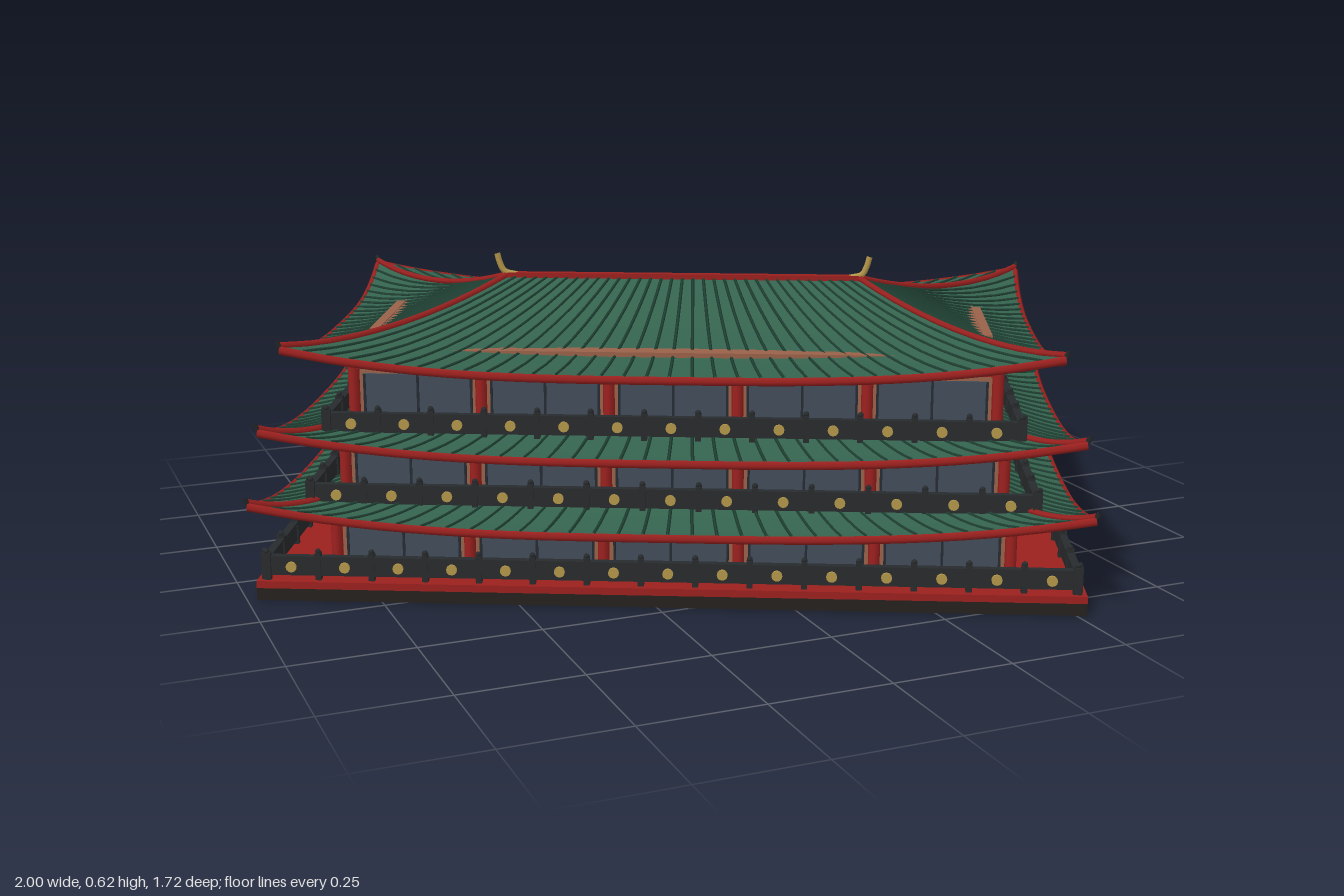
import * as THREE from 'three';
import { mergeGeometries } from 'three/addons/utils/BufferGeometryUtils.js';

const mat = (color, side = THREE.FrontSide) => new THREE.MeshStandardMaterial({ color, side });
const M = {
  green: mat(0x34634e, THREE.DoubleSide), rib: mat(0x1f4033), red: mat(0x9c211f),
  under: mat(0x53332a, THREE.DoubleSide), wall: mat(0x9a6249), glass: mat(0x414c5a),
  dark: mat(0x282b2d), gold: mat(0xb3964a), stone: mat(0x24211f), lattice: mat(0x262c33),
};

// Collects geometries per name and material, then merges each list into one mesh
class Parts {
  constructor() { this.lists = new Map(); }
  add(name, material, geo, side = 0) {
    if (side) geo.rotateY(side * Math.PI / 2);
    if (!this.lists.has(name)) this.lists.set(name, { material, geos: [] });
    this.lists.get(name).geos.push(geo);
  }
  build(groupName) {
    const g = new THREE.Group();
    g.name = groupName;
    for (const [name, { material, geos }] of this.lists) {
      const m = new THREE.Mesh(mergeGeometries(geos), material);
      m.name = name;
      g.add(m);
    }
    return g;
  }
}

const box = (w, h, d, x, y, z) => new THREE.BoxGeometry(w, h, d).translate(x, y, z);
const tube = (pts, r, n = 12, sides = 5) =>
  new THREE.TubeGeometry(new THREE.CatmullRomCurve3(pts), n, r, sides);
const steps = (n, f) => Array.from({ length: n + 1 }, (_, i) => f(i / n));

// One curved roof slope facing +z: s runs along the eave (-1..1), t from top (0) to eave (1)
function slope(r, a, d, ai, di) {
  return (s, t, lift = 0) => {
    const fall = 1 - Math.pow(1 - t, r.curve);
    const y = r.top - (r.top - r.eave) * fall + r.rise * Math.pow(Math.abs(s), 3) * t * t;
    const inset = 0.012 * (1 - s * s) * t;
    return new THREE.Vector3(s * (ai + (a - ai) * t), y + lift, di + (d - di) * t - inset);
  };
}

function grid(fn, nu, nv) {
  const pos = [], idx = [];
  for (let j = 0; j <= nv; j++)
    for (let i = 0; i <= nu; i++) pos.push(...fn(i / nu * 2 - 1, j / nv).toArray());
  for (let j = 0; j < nv; j++)
    for (let i = 0; i < nu; i++) {
      const p = j * (nu + 1) + i, q = p + nu + 1;
      idx.push(p, q, q + 1, p, q + 1, p + 1);
    }
  const g = new THREE.BufferGeometry();
  g.setAttribute('position', new THREE.Float32BufferAttribute(pos, 3));
  g.setIndex(idx);
  g.computeVertexNormals();
  return g;
}

function makeRoof(r) {
  const P = new Parts();
  for (let k = 0; k < 4; k++) {
    const long = k % 2 === 0;
    const f = long ? slope(r, r.l, r.w, r.il, r.iw) : slope(r, r.w, r.l, r.iw, r.il);
    P.add('roofTiles', M.green, grid((s, t) => f(s, t), 28, 10), k);
    P.add('roofUnderside', M.under, grid((s, t) => f(s, t, -0.014), 28, 10), k);
    // raised tile ribs
    const n = long ? 34 : 22;
    for (let i = 1; i < n; i++) {
      const s = i / n * 2 - 1;
      P.add('tileRibs', M.rib, tube(steps(5, t => f(s, t, 0.0005)), 0.0035, 7, 4), k);
    }
    // eave edge, hip and inner trim
    P.add('eaveTrim', M.red, tube(steps(16, u => f(u * 2 - 1, 1, -0.006)), 0.009, 32), k);
    P.add('hipRidges', M.red, tube(steps(8, t => f(1, t, 0.003)), 0.007, 16), k);
    const tip = f(1, 1);
    const out = tip.clone().add(new THREE.Vector3(0.004, 0.014, 0.004));
    P.add('cornerTips', M.dark, tube([tip, out], 0.005, 2), k);
  }
  return P.build('roof');
}

// One storey: walls, bays of columns and windows, beams
function makeStorey(t) {
  const P = new Parts();
  const h = t.y1 - t.y0, mid = (t.y0 + t.y1) / 2;
  P.add('walls', M.wall, box(t.l * 2 - 0.02, t.wallTop - t.y0, t.w * 2 - 0.02, 0, (t.wallTop + t.y0) / 2, 0));
  for (let k = 0; k < 4; k++) {
    const long = k % 2 === 0;
    const a = long ? t.l : t.w, d = long ? t.w : t.l;
    const n = long ? 5 : 3, bay = 2 * a / n;
    for (let i = 0; i < n; i++) {
      const x = -a + i * bay;
      P.add('columns', M.red, new THREE.CylinderGeometry(0.012, 0.012, h, 8).translate(x, mid, d), k);
      const door = t.door && k === 2 && i === 2;
      const w = bay * (long ? 0.84 : 0.6);
      if (!door) {
        P.add('windows', M.glass, box(w, h * 0.66, 0.01, x + bay / 2, mid - h * 0.03, d - 0.009), k);
        for (let m = 0; m <= 2; m++)
          P.add('windowBars', M.lattice, box(0.005, h * 0.66, 0.004, x + bay / 2 + (m / 2 - 0.5) * w, mid - h * 0.03, d - 0.003), k);
      } else {
        // entrance with gilded posts
        P.add('door', M.lattice, box(0.16, h * 0.9, 0.012, 0, mid - h * 0.05, d - 0.004), k);
        for (const sx of [-1, 1])
          P.add('doorPosts', M.gold, box(0.03, h, 0.03, sx * 0.085, mid, d + 0.012), k);
      }
    }
    for (const [y, bh] of [[t.y1 - 0.008, 0.016], [t.y0 + 0.006, 0.012]])
      P.add('beams', M.red, box(2 * a, bh, 0.02, 0, y, d - 0.002), k);
  }
  return P.build('storey');
}

// Balustrade with solid boards, gold discs and small posts
function makeRailing(r) {
  const P = new Parts();
  for (let k = 0; k < 4; k++) {
    const long = k % 2 === 0;
    const a = long ? r.l : r.w, d = long ? r.w : r.l;
    P.add('railingBoards', M.dark, box(2 * a, 0.037, 0.01, 0, r.y + 0.031, d - 0.005), k);
    P.add('railingCap', M.dark, box(2 * a, 0.005, 0.016, 0, r.y + 0.051, d - 0.005), k);
    const n = Math.round(2 * a / 0.11);
    for (let i = 0; i <= n; i++) {
      const x = -a + 2 * a * i / n;
      P.add('railingPosts', M.dark, box(0.012, 0.06, 0.016, x, r.y + 0.03, d - 0.005), k);
      P.add('postFinials', M.dark, new THREE.SphereGeometry(0.006, 8, 6).translate(x, r.y + 0.063, d - 0.005), k);
      if (i < n)
        P.add('goldDiscs', M.gold, new THREE.CylinderGeometry(0.011, 0.011, 0.006, 12)
          .rotateX(Math.PI / 2).translate(x + a / n, r.y + 0.031, d + 0.002), k);
    }
  }
  return P.build('railing');
}

export function createModel() {
  const hall = new THREE.Group();
  hall.name = 'hall';

  // stepped base
  const base = new Parts();
  base.add('plinth', M.stone, box(1.664, 0.025, 1.066, 0, 0.0125, 0));
  base.add('terraceFloor', M.red, box(1.664, 0.015, 1.066, 0, 0.0325, 0));
  // upper balcony floors
  base.add('balconyFloors', M.under, box(1.484, 0.01, 0.864, 0, 0.162, 0));
  base.add('balconyFloors', M.under, box(1.416, 0.01, 0.818, 0, 0.307, 0));
  hall.add(base.build('base'));

  // storeys from bottom to top
  hall.add(makeStorey({ l: 0.69, w: 0.42, y0: 0.04, y1: 0.16, wallTop: 0.16, door: true }));
  hall.add(makeStorey({ l: 0.675, w: 0.38, y0: 0.165, y1: 0.305, wallTop: 0.305 }));
  hall.add(makeStorey({ l: 0.66, w: 0.34, y0: 0.31, y1: 0.455, wallTop: 0.48 }));

  hall.add(makeRailing({ l: 0.817, w: 0.518, y: 0.036 }));
  hall.add(makeRailing({ l: 0.742, w: 0.432, y: 0.163 }));
  hall.add(makeRailing({ l: 0.708, w: 0.409, y: 0.308 }));

  // two skirt roofs and the hipped top roof
  hall.add(makeRoof({ l: 0.84, w: 0.54, il: 0.67, iw: 0.375, top: 0.19, eave: 0.15, rise: 0.055, curve: 1.3 }));
  hall.add(makeRoof({ l: 0.82, w: 0.51, il: 0.655, iw: 0.335, top: 0.335, eave: 0.295, rise: 0.055, curve: 1.3 }));
  hall.add(makeRoof({ l: 0.775, w: 0.48, il: 0.385, iw: 0.0, top: 0.572, eave: 0.458, rise: 0.055, curve: 1.6 }));

  // main ridge with curved gold horns, and the exposed wall tops on the slopes
  const crown = new Parts();
  crown.add('mainRidge', M.red, box(0.77, 0.014, 0.018, 0, 0.573, 0));
  for (const s of [-1, 1]) {
    const p = [[0.365, 0.575], [0.392, 0.582], [0.402, 0.6], [0.408, 0.622]];
    crown.add('ridgeHorns', M.gold, tube(p.map(([x, y]) => new THREE.Vector3(s * x, y, 0)), 0.007, 10, 6));
    crown.add('wallTops', M.wall, box(0.94, 0.012, 0.03, 0, 0.475, s * 0.333));
    crown.add('wallTops', M.wall, box(0.02, 0.012, 0.3, s * 0.655, 0.476, 0));
  }
  hall.add(crown.build('crown'));

  hall.rotation.y = -0.448;
  const model = new THREE.Group();
  model.name = 'tieredHall';
  model.add(hall);
  return model;
}
